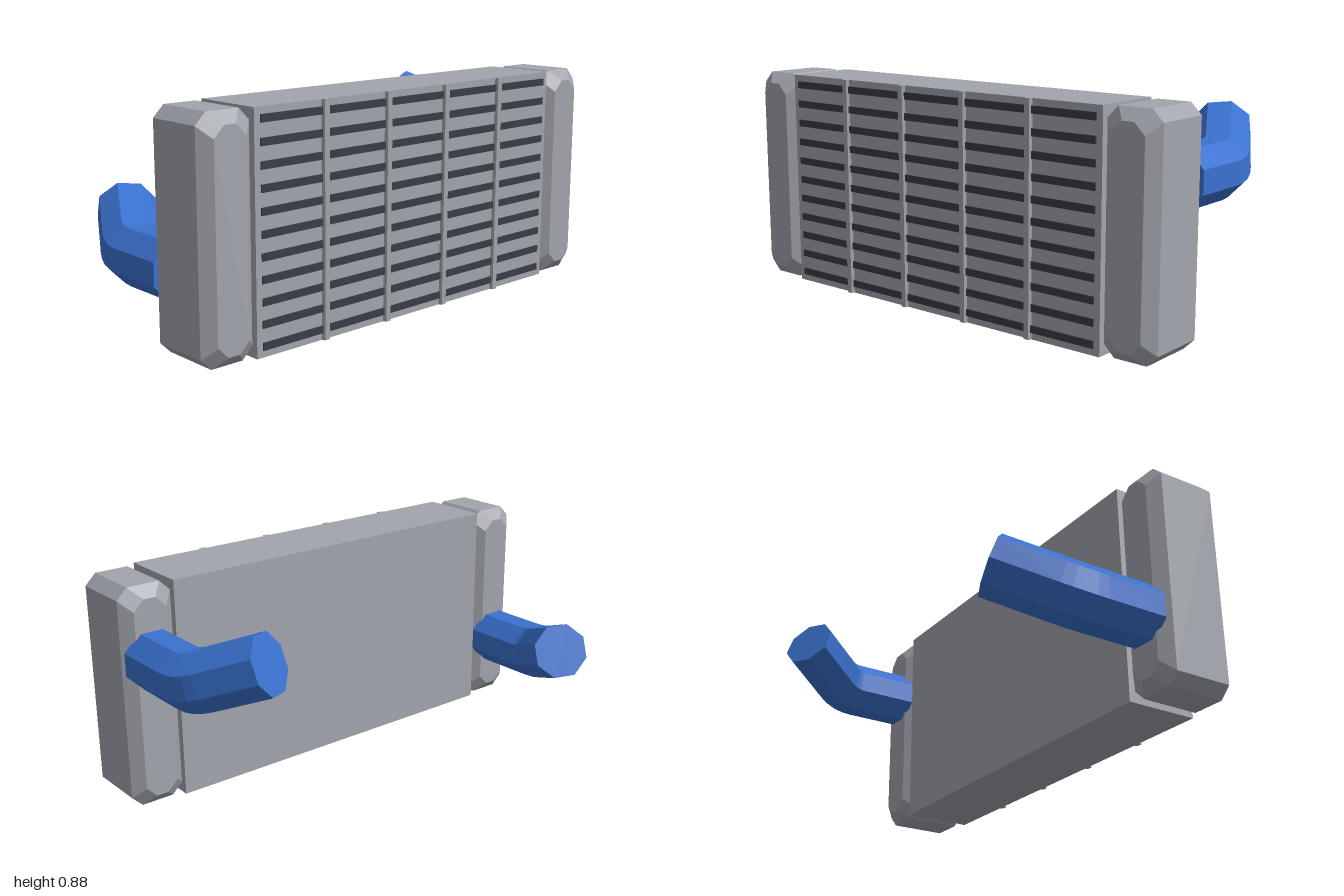
import * as THREE from 'three';
import { ConvexGeometry } from 'three/addons/geometries/ConvexGeometry.js';

const material = (name, color) => {
  const m = new THREE.MeshStandardMaterial({ color, flatShading: true });
  m.name = name;
  return m;
};

// Octagonal outline in x and y with corners cut by c
function octagon(hw, hh, c, z) {
  const pts = [];
  for (const sx of [-1, 1]) for (const sy of [-1, 1]) {
    pts.push(new THREE.Vector3(sx * (hw - c), sy * hh, z));
    pts.push(new THREE.Vector3(sx * hw, sy * (hh - c), z));
  }
  return pts;
}

// Box with every edge chamfered by c
function chamferedTank(w, h, d, c) {
  const pts = [];
  for (const s of [-1, 1]) {
    pts.push(...octagon(w / 2, h / 2, c, s * (d / 2 - c)));
    pts.push(...octagon(w / 2 - c, h / 2 - c, c, s * d / 2));
  }
  return new ConvexGeometry(pts);
}

// Eight-sided pipe running back, then bending inwards and up
function bentPipe(side, y) {
  const back = new THREE.Vector3(0, 0, -1);
  const dir = new THREE.Vector3(-side * 0.56, 0.434, -1).normalize();
  const corner = new THREE.Vector3(side * 0.89, y, -0.15);
  const bend = new THREE.QuadraticBezierCurve3(
    corner.clone().addScaledVector(back, -0.06), corner, corner.clone().addScaledVector(dir, 0.06));
  const steps = 4;
  const rings = [{ p: new THREE.Vector3(side * 0.89, y, 0.155), t: back }];
  for (let i = 0; i <= steps; i++) rings.push({ p: bend.getPoint(i / steps), t: bend.getTangent(i / steps) });
  rings.push({ p: corner.clone().addScaledVector(dir, 0.309), t: dir });

  const last = rings.length - 1;
  const geo = new THREE.CylinderGeometry(0.118, 0.118, 1, 8, last);
  geo.rotateY(Math.PI / 8);
  geo.rotateX(-Math.PI / 2);
  const pos = geo.attributes.position;
  const q = new THREE.Quaternion();
  const v = new THREE.Vector3();
  for (let i = 0; i < pos.count; i++) {
    const ring = rings[Math.round((0.5 - pos.getZ(i)) * last)];
    q.setFromUnitVectors(back, ring.t);
    v.set(pos.getX(i), pos.getY(i), 0).applyQuaternion(q).add(ring.p);
    pos.setXYZ(i, v.x, v.y, v.z);
  }
  const flat = geo.toNonIndexed();
  flat.computeVertexNormals();
  return flat;
}

export function createModel() {
  const group = new THREE.Group();
  group.name = 'intercooler';
  const metal = material('grey metal', 0xa2a5ad);
  const dark = material('dark slot', 0x3a3d46);
  const blue = material('blue hose', 0x3a72d0);

  const add = (name, geo, mat, x = 0, y = 0, z = 0) => {
    const mesh = new THREE.Mesh(geo, mat);
    mesh.name = name;
    mesh.position.set(x, y, z);
    group.add(mesh);
  };

  const H = 0.877;

  // Core block
  add('core', new THREE.BoxGeometry(1.56, H, 0.292), metal, 0, H / 2, 0.301);

  // Cooling slots across the front
  const slot = new THREE.BoxGeometry(1.51, 0.028, 0.008);
  for (let i = 0; i < 11; i++) add('slot', slot, dark, 0, 0.04 + i * 0.0797, 0.448);

  // Upright bars over the slots
  const section = new THREE.Shape([
    new THREE.Vector2(-0.016, 0), new THREE.Vector2(0.016, 0),
    new THREE.Vector2(0.011, 0.014), new THREE.Vector2(-0.011, 0.014),
  ]);
  const bar = new THREE.ExtrudeGeometry(section, { depth: H, bevelEnabled: false });
  bar.rotateX(-Math.PI / 2);
  bar.scale(1, 1, -1);
  // Restore the winding after the mirror by swapping two corners of each face
  const p = bar.attributes.position;
  const a = new THREE.Vector3(), b = new THREE.Vector3();
  for (let i = 0; i < p.count; i += 3) {
    a.fromBufferAttribute(p, i);
    b.fromBufferAttribute(p, i + 1);
    p.setXYZ(i, b.x, b.y, b.z);
    p.setXYZ(i + 1, a.x, a.y, a.z);
  }
  bar.computeVertexNormals();
  for (const x of [-0.465, -0.155, 0.155, 0.465]) add('bar', bar, metal, x, 0, 0.446);

  // End tanks
  const tank = chamferedTank(0.22, H, 0.323, 0.043);
  add('leftTank', tank, metal, 0.89, H / 2, 0.3015);
  add('rightTank', tank, metal, -0.89, H / 2, 0.3015);

  // Hoses at the back, one high and one low
  add('leftHose', bentPipe(1, 0.597), blue);
  add('rightHose', bentPipe(-1, 0.282), blue);
  return group;
}
